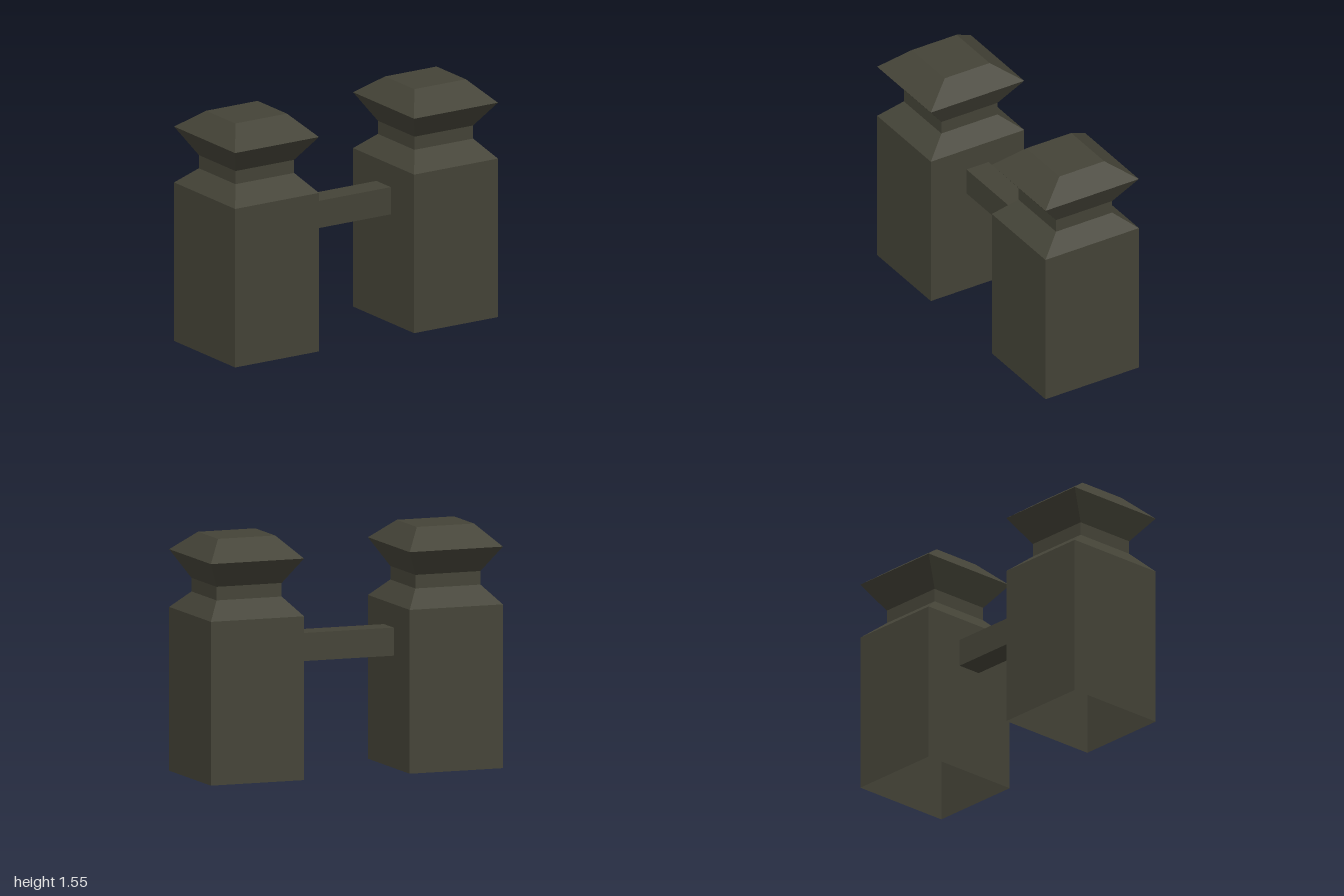
import * as THREE from 'three';

const stone = new THREE.MeshStandardMaterial({ color: 0x444337, side: THREE.DoubleSide });
stone.name = 'dark olive stone';

// Post cross-sections from the ground up: height, half width, half depth
const sections = [
  [0, 0.319, 0.35],
  [1.05, 0.319, 0.35],
  [1.163, 0.223, 0.21],
  [1.25, 0.223, 0.21],
  [1.42, 0.319, 0.35],
  [1.55, 0.196, 0.168],
];

// Stacked rectangles joined by flat faces, capped on top and open underneath
function rectangularLoft(rings) {
  const corners = [[-1, 1], [1, 1], [1, -1], [-1, -1]];
  const positions = [];
  const index = [];
  for (const [y, w, d] of rings) {
    for (const [sx, sz] of corners) positions.push(sx * w, y, sz * d);
  }
  for (let r = 0; r < rings.length - 1; r++) {
    for (let k = 0; k < 4; k++) {
      const a = r * 4 + k;
      const b = r * 4 + (k + 1) % 4;
      index.push(a, b, b + 4, a, b + 4, a + 4);
    }
  }
  const t = (rings.length - 1) * 4;
  index.push(t, t + 1, t + 2, t, t + 2, t + 3);

  const indexed = new THREE.BufferGeometry();
  indexed.setAttribute('position', new THREE.Float32BufferAttribute(positions, 3));
  indexed.setIndex(index);
  const geometry = indexed.toNonIndexed();
  geometry.computeVertexNormals();
  return geometry;
}

export function createModel() {
  const model = new THREE.Group();
  model.name = 'twinPosts';

  // Two matching posts with flared caps
  const postGeometry = rectangularLoft(sections);
  for (const side of [-1, 1]) {
    const post = new THREE.Mesh(postGeometry, stone);
    post.name = side > 0 ? 'leftPost' : 'rightPost';
    post.position.x = side * 0.681;
    model.add(post);
  }

  // Crossbar between the inner faces
  const crossbar = new THREE.Mesh(new THREE.BoxGeometry(0.724, 0.18, 0.165), stone);
  crossbar.name = 'crossbar';
  crossbar.position.y = 0.81;
  model.add(crossbar);

  return model;
}
